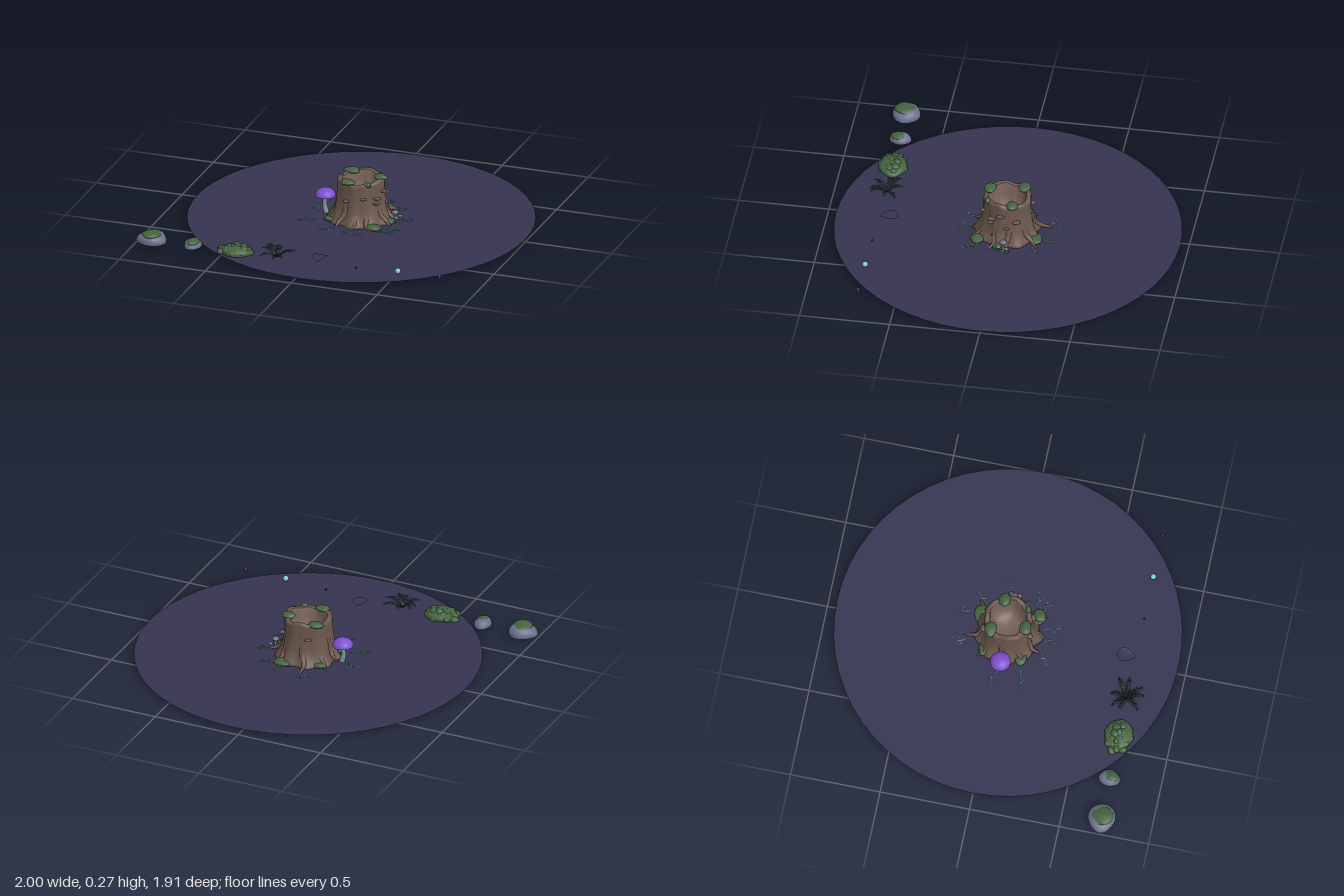
import * as THREE from 'three';
import { mergeVertices, mergeGeometries } from 'three/addons/utils/BufferGeometryUtils.js';

const mat = (name, color, side = THREE.FrontSide) => {
  const m = new THREE.MeshStandardMaterial({ color, side });
  m.name = name;
  return m;
};
const V = (x, y, z) => new THREE.Vector3(x, y, z);
const CX = 0.045; // stump axis
const GROUND = 0.014;

// Merge seams and smooth the normals
function smooth(g) {
  g.deleteAttribute('uv');
  g.deleteAttribute('normal');
  const m = mergeVertices(g, 1e-5);
  m.computeVertexNormals();
  return m;
}

// Lumpy ellipsoid; flat is the lowest unit height kept
function blob(rx, ry, rz, seed, bump = 0.1, flat = -1) {
  const g = new THREE.SphereGeometry(1, 22, 14);
  const p = g.attributes.position, v = V(0, 0, 0);
  for (let i = 0; i < p.count; i++) {
    v.fromBufferAttribute(p, i);
    const k = 1 + bump * (Math.sin(v.x * 3.1 + seed) + Math.sin(v.z * 3.7 + seed * 2.3) * Math.cos(v.y * 2.9 + seed));
    p.setXYZ(i, v.x * k * rx, Math.max(v.y * k, flat) * ry, v.z * k * rz);
  }
  return smooth(g);
}

// Tube that tapers from r0 to r1
function taper(points, r0, r1, seg = 14, sides = 9) {
  const curve = new THREE.CatmullRomCurve3(points);
  const g = new THREE.TubeGeometry(curve, seg, 1, sides);
  const p = g.attributes.position, v = V(0, 0, 0);
  for (let i = 0; i < p.count; i++) {
    const t = Math.floor(i / (sides + 1)) / seg, c = curve.getPointAt(t);
    v.fromBufferAttribute(p, i).sub(c).multiplyScalar(r0 + (r1 - r0) * t).add(c);
    p.setXYZ(i, v.x, v.y, v.z);
  }
  return smooth(g);
}

// One arching frond made of paired leaflets
function frond(angle, length, height) {
  const pos = [], n = 11;
  const dx = Math.cos(angle), dz = Math.sin(angle);
  const at = (t, side, drop = 0) => [
    dx * t * length - dz * side, height * Math.sin(Math.PI * t * 0.72) - drop, dz * t * length + dx * side];
  for (let i = 0; i < n; i++) {
    const t0 = i / n, t1 = (i + 0.85) / n, w = 0.024 * Math.sin(Math.PI * (0.15 + 0.8 * t0));
    for (const s of [-1, 1]) pos.push(...at(t0, 0), ...at(t1, 0), ...at(t1 + 0.05, s * w, 0.005));
    pos.push(...at(t0, -0.002), ...at(t0, 0.002), ...at(t0 + 1 / n, 0));
  }
  const g = new THREE.BufferGeometry();
  g.setAttribute('position', new THREE.Float32BufferAttribute(pos, 3));
  g.computeVertexNormals();
  return g;
}

export function createModel() {
  const root = new THREE.Group();
  root.name = 'stumpScene';
  const ground = mat('nightGround', 0x353350, THREE.DoubleSide);
  const bark = mat('bark', 0x6b574d);
  const wood = mat('innerWood', 0x78645a);
  const moss = mat('moss', 0x44623f);
  const fernGreen = mat('fernGreen', 0x1f3525, THREE.DoubleSide);
  const purple = mat('purpleCap', 0x7e4fcf);
  const stone = mat('stone', 0x6b718c);
  const pale = mat('paleStem', 0x7c9896);
  const glow = mat('glowTeal', 0x7fd0c0);
  const violet = mat('darkViolet', 0x35286a, THREE.DoubleSide);

  const add = (name, geo, m, x = 0, y = 0, z = 0, parent = root) => {
    const mesh = new THREE.Mesh(geo, m);
    mesh.name = name;
    mesh.position.set(x, y, z);
    parent.add(mesh);
    return mesh;
  };

  // Ground disc
  add('groundDisc', new THREE.CircleGeometry(0.955, 56).rotateX(-Math.PI / 2), ground, CX, GROUND, 0);

  // Stump: hollow lathe with a grooved, flared wall and an uneven rim
  const stump = new THREE.Group();
  stump.name = 'stump';
  stump.position.x = CX;
  root.add(stump);
  const warp = (profile) => {
    const g = new THREE.LatheGeometry(profile.map(([r, y]) => new THREE.Vector2(r, y)), 72);
    const p = g.attributes.position;
    for (let i = 0; i < p.count; i++) {
      const x = p.getX(i), y = p.getY(i), z = p.getZ(i), a = Math.atan2(z, x);
      const flare = Math.max(0, 1 - y / 0.12);
      const k = 1 + 0.025 * Math.sin(a * 5 + 1) + 0.012 * Math.sin(a * 13) + 0.07 * flare * Math.sin(a * 9);
      const lift = y > 0.2 ? 0.006 * Math.sin(a * 3 + 0.6) + 0.004 * Math.sin(a * 7) : 0;
      p.setXYZ(i, x * k, y + lift, z * k);
    }
    return smooth(g);
  };
  add('trunk', warp([[0, 0.006], [0.1, 0.006], [0.185, 0.008], [0.172, 0.025], [0.155, 0.055], [0.143, 0.09],
    [0.135, 0.14], [0.13, 0.2], [0.131, 0.24], [0.127, 0.252], [0.115, 0.255], [0.104, 0.25]]), bark, 0, 0, 0, stump);
  add('hollow', warp([[0.104, 0.25], [0.099, 0.235], [0.095, 0.19], [0.085, 0.14], [0.06, 0.115], [0, 0.108]]),
    wood, 0, 0, 0, stump);

  // Tapered roots, by tip position on the ground
  const tips = [[-0.055, -0.24], [0.06, -0.2], [0.155, -0.185], [0.225, -0.04], [0.205, 0.085], [0.125, 0.195],
    [0.01, 0.2], [-0.08, 0.2], [-0.175, 0.11], [-0.18, -0.01], [-0.165, -0.14]];
  tips.forEach(([x, z], i) => {
    const l = Math.hypot(x, z), ux = x / l, uz = z / l, b = (i % 2 ? 1 : -1) * 0.014;
    add('root', taper([V(ux * 0.11, 0.14, uz * 0.11), V(ux * 0.135, 0.07, uz * 0.135),
      V(ux * 0.172 - uz * b, 0.033, uz * 0.172 + ux * b), V(x, 0.015, z)], 0.028, 0.004), bark, 0, 0, 0, stump);
  });

  // Shelf fungi on the trunk: angle from +x toward +z, height, size
  [[0.15, 0.195, 0.022], [-0.5, 0.155, 0.022], [0.55, 0.165, 0.024], [0.6, 0.138, 0.02], [1.15, 0.172, 0.02],
    [-0.1, 0.12, 0.018], [1.9, 0.15, 0.018], [-2, 0.17, 0.02]].forEach(([a, y, s]) =>
    add('shelfFungus', blob(s, 0.006, s, a, 0.05), bark, Math.cos(a) * 0.135, y, Math.sin(a) * 0.135, stump));

  // Moss patches on the rim and between the roots
  [[-0.085, 0.25, -0.08, 0.045], [0.1, 0.25, -0.038, 0.042], [-0.038, 0.255, 0.105, 0.042], [0.07, 0.25, 0.1, 0.02],
    [0.075, 0.025, -0.165, 0.05], [0.125, 0.025, 0.15, 0.045], [-0.13, 0.025, 0.1, 0.045], [-0.12, 0.025, -0.11, 0.04],
    [0.17, 0.025, 0.03, 0.035]].forEach(([x, y, z, s], i) =>
    add('mossPatch', blob(s, 0.016, s * 0.75, i * 1.7, 0.07), moss, x, y, z, stump));

  // Large purple mushroom
  const big = new THREE.Group();
  big.name = 'largeMushroom';
  big.position.set(-0.165, 0, 0);
  root.add(big);
  add('stem', taper([V(0.006, GROUND, 0), V(-0.004, 0.06, 0), V(0, 0.118, 0)], 0.016, 0.01), pale, 0, 0, 0, big);
  const cap = [[0.056, 0.113], [0.057, 0.12], [0.05, 0.136], [0.035, 0.149], [0.016, 0.155], [0, 0.156]];
  add('cap', new THREE.LatheGeometry(cap.map(([r, y]) => new THREE.Vector2(r, y)), 32), purple, 0, 0, 0, big);
  add('gills', new THREE.ConeGeometry(0.056, 0.008, 32, 1, true).scale(1, -1, 1), violet, 0, 0.116, 0, big);

  // Small grey mushrooms on the right
  [[0.24, 0.066, -0.005, 0.02], [0.255, 0.045, 0.02, 0.014], [0.262, 0.04, -0.025, 0.012]].forEach(([x, y, z, s]) => {
    add('smallStem', new THREE.CylinderGeometry(s * 0.25, s * 0.35, y - GROUND, 10), pale, x, (y + GROUND) / 2, z);
    add('smallCap', blob(s, s * 0.7, s, 2, 0.02, -0.2), stone, x, y, z);
  });

  // Glowing threads: start and end on the ground, zigzag between, one side branch
  const threads = [[-0.03, -0.22, -0.08, -0.25], [-0.04, -0.22, -0.045, -0.295], [0.14, -0.19, 0.11, -0.285],
    [0.19, -0.15, 0.245, -0.2], [0.25, 0, 0.325, -0.055], [0.2, 0.14, 0.31, 0.12], [0.2, 0.165, 0.285, 0.19],
    [0.1, 0.19, 0.13, 0.275], [0.045, 0.18, 0.04, 0.275], [-0.03, 0.19, -0.115, 0.265], [-0.15, 0.11, -0.27, 0.15],
    [-0.19, -0.01, -0.265, -0.04]];
  threads.forEach(([x0, z0, x1, z1], i) => {
    const dx = x1 - x0, dz = z1 - z0, pts = [];
    for (let k = 0; k <= 6; k++) {
      const t = k / 6, w = k % 6 ? 0.12 * Math.sin(k * 2.6 + i) : 0;
      pts.push(V(x0 + dx * t - dz * w, GROUND + 0.002, z0 + dz * t + dx * w));
    }
    const m = pts[3], end = V(m.x + dx * 0.25 - dz * 0.3, m.y, m.z + dz * 0.25 + dx * 0.3);
    add('glowThread', mergeGeometries([taper(pts, 0.0028, 0.0014, 18, 5),
      taper([m, m.clone().lerp(end, 0.5), end], 0.002, 0.001, 4, 5)]), glow);
  });

  // Two stones, each with a moss cap
  [[-0.915, 0.72, 0.084, 0.05, 0.078, 0.4, 0.07], [-0.675, 0.715, 0.049, 0.036, 0.06, 2.2, 0.055]].forEach(
    ([x, z, rx, ry, rz, seed, top]) => {
      add('stone', blob(rx, ry, rz, seed, 0.05, -0.2), stone, x, 0.022, z);
      add('stoneMoss', blob(rx * 0.7, 0.018, rz * 0.72, seed + 1, 0.08), moss, x + 0.004, top - 0.012, z + 0.006);
    });

  // Moss clump: a flat base under a spiral of small lumps
  const clump = new THREE.Group();
  clump.name = 'mossClump';
  clump.position.set(-0.425, 0, 0.715);
  root.add(clump);
  add('clumpBase', blob(0.102, 0.036, 0.076, 1, 0.06, -0.55), moss, 0, 0.02, 0, clump);
  for (let i = 0; i < 26; i++) {
    const a = i * 2.4, q = Math.sqrt((i + 0.5) / 26), s = 0.02 + 0.006 * Math.sin(i * 4.1);
    add('clumpLump', blob(s, s * 0.7, s, i, 0.06), moss, Math.cos(a) * q * 0.092, 0.05 - 0.032 * q * q,
      Math.sin(a) * q * 0.068, clump);
  }

  // Fern
  const fronds = [];
  for (let i = 0; i < 8; i++) fronds.push(frond(i * Math.PI / 4 + 0.2 * Math.sin(i * 2), 0.098 + 0.012 * Math.sin(i * 3), 0.045 + 0.008 * Math.cos(i * 5)));
  add('fern', mergeGeometries(fronds), fernGreen, -0.19, 0.016, 0.71);

  // Fallen leaf, folded gently along its middle
  const leaf = new THREE.Shape();
  leaf.moveTo(0, -0.057);
  leaf.bezierCurveTo(0.03, -0.03, 0.058, 0.012, 0.028, 0.035);
  leaf.quadraticCurveTo(0.012, 0.045, 0, 0.052);
  leaf.quadraticCurveTo(-0.012, 0.045, -0.028, 0.035);
  leaf.bezierCurveTo(-0.058, 0.012, -0.03, -0.03, 0, -0.057);
  const leafGeo = new THREE.ShapeGeometry(leaf, 10).rotateX(-Math.PI / 2);
  const lp = leafGeo.attributes.position;
  for (let i = 0; i < lp.count; i++) lp.setY(i, Math.abs(lp.getX(i)) * 0.35);
  leafGeo.computeVertexNormals();
  add('leaf', leafGeo, ground, 0.042, 0.022, 0.658);

  // Small loose pieces: sprig, glowing orb, violet seed
  add('sprig', new THREE.ConeGeometry(0.006, 0.016, 6), fernGreen, 0.275, 0.024, 0.715);
  add('orb', new THREE.SphereGeometry(0.016, 20, 14), glow, 0.518, 0.034, 0.715);
  add('seed', new THREE.SphereGeometry(0.011, 16, 12).scale(1, 1.5, 1), violet, 0.76, 0.034, 0.715);
  return root;
}
